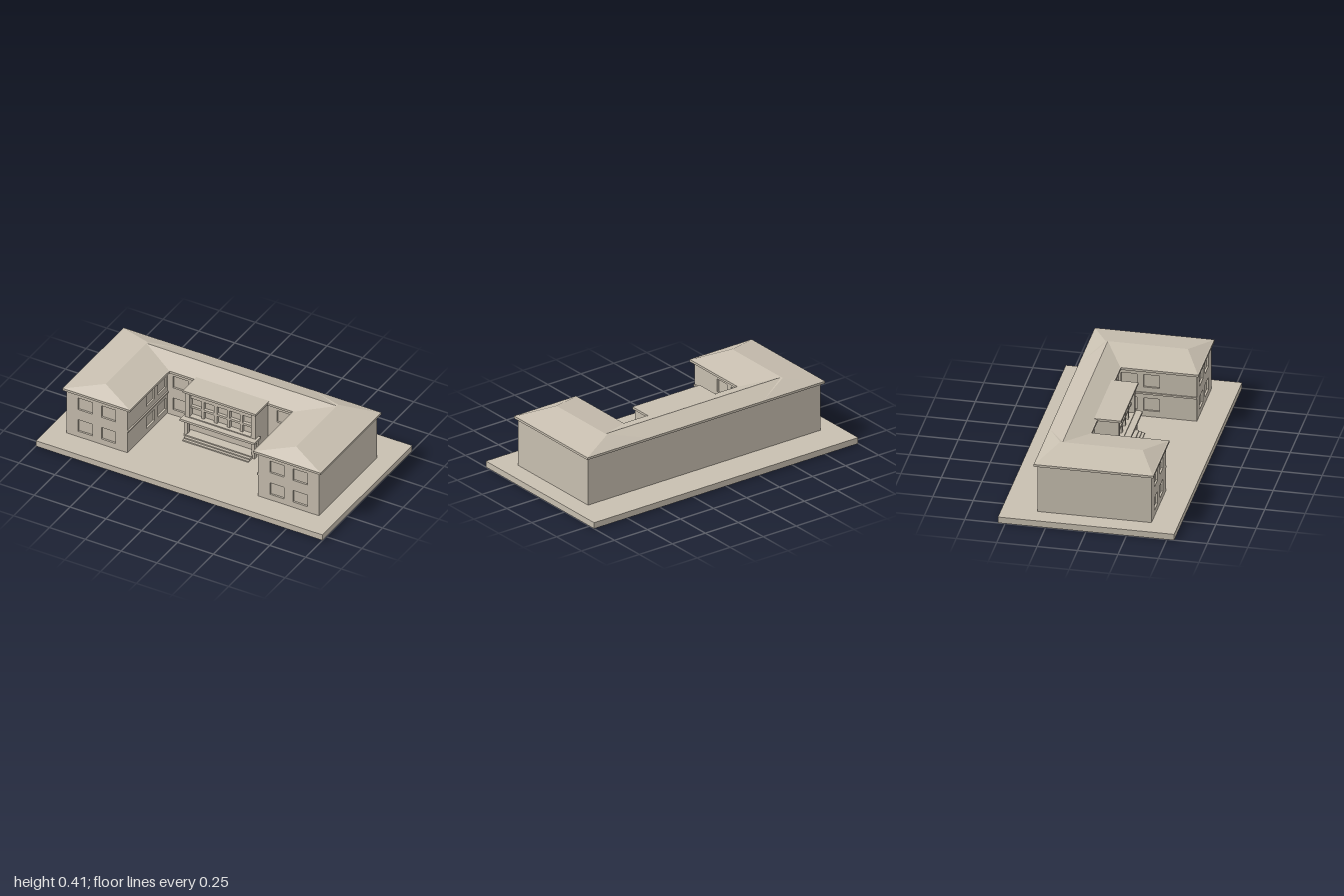
import * as THREE from 'three';

const stone = new THREE.MeshStandardMaterial({ color: 0xc8bfb0 });
stone.name = 'stone';

export function createModel() {
  const model = new THREE.Group();
  model.name = 'courtyardBuilding';

  const add = (name, geometry) => {
    const mesh = new THREE.Mesh(geometry, stone);
    mesh.name = name;
    model.add(mesh);
    return mesh;
  };

  // Box given by its limits on each axis
  const box = (name, x0, x1, y0, y1, z0, z1) =>
    add(name, new THREE.BoxGeometry(x1 - x0, y1 - y0, z1 - z0))
      .position.set((x0 + x1) / 2, (y0 + y1) / 2, (z0 + z1) / 2);

  // Wall panel with rectangular openings [centre u, centre y, width, height]
  const panel = (name, u0, u1, y0, y1, depth, openings) => {
    const rect = (path, a, b, c, d) =>
      path.moveTo(a, c).lineTo(b, c).lineTo(b, d).lineTo(a, d).closePath();
    const shape = new THREE.Shape();
    rect(shape, u0, u1, y0, y1);
    for (const [u, y, w, h] of openings) {
      const hole = new THREE.Path();
      rect(hole, u - w / 2, u + w / 2, y - h / 2, y + h / 2);
      shape.holes.push(hole);
    }
    return add(name, new THREE.ExtrudeGeometry(shape, { depth, bevelEnabled: false }));
  };

  // Hipped roof: base rectangle and a ridge between two points
  const hipRoof = (name, x0, x1, z0, z1, y, top, r0, r1) => {
    const a = [x0, y, z1], b = [x1, y, z1], c = [x1, y, z0], d = [x0, y, z0];
    const p = [r0[0], top, r0[1]], q = [r1[0], top, r1[1]];
    const alongX = r0[1] === r1[1];
    const faces = alongX
      ? [a, b, q, a, q, p, c, d, p, c, p, q, b, c, q, d, a, p]
      : [b, c, p, b, p, q, d, a, q, d, q, p, a, b, q, c, d, p];
    const geometry = new THREE.BufferGeometry();
    geometry.setAttribute('position', new THREE.Float32BufferAttribute(faces.flat(), 3));
    geometry.computeVertexNormals();
    return add(name, geometry);
  };

  const ground = 0.04, wallTop = 0.355, eaveTop = 0.37, ridge = 0.415;
  const rows = [0.122, 0.282], recess = 0.012;
  const windows = (centres, w) =>
    centres.flatMap(u => rows.map(y => [u, y, w, 0.085]));

  box('basePlate', -1, 1, 0, ground, -0.545, 0.545);

  // Central range
  box('centreCore', -0.467, 0.467, ground, wallTop, -0.325, -0.105 - recess);
  panel('centreFront', -0.455, 0.455, ground, wallTop, recess, windows([-0.362, 0.362], 0.107))
    .position.z = -0.105 - recess;
  box('centreEave', -0.43, 0.43, wallTop, eaveTop, -0.345, -0.085);
  hipRoof('centreRoof', -0.89, 0.89, -0.338, -0.092, eaveTop, ridge, [-0.66, -0.215], [0.66, -0.215]);

  // Side wings
  for (const s of [-1, 1]) {
    const side = s > 0 ? 'left' : 'right';
    const span = (a, b) => (s > 0 ? [a, b] : [-b, -a]);
    box(side + 'WingCore', ...span(0.455 + recess, 0.88), ground, wallTop, -0.325, 0.38 - recess);
    panel(side + 'WingFront', ...span(0.455, 0.88), ground, wallTop, recess,
      windows([0.588 * s, 0.75 * s], 0.1)).position.z = 0.38 - recess;
    const inner = panel(side + 'WingInner', ...span(-0.105, 0.38 - recess), ground, wallTop, recess,
      windows([-0.04 * s, 0.1 * s], 0.1));
    inner.rotation.y = -s * Math.PI / 2;
    inner.position.x = s * (0.455 + recess);
    box(side + 'WingBand', ...span(0.447, 0.456), 0.193, 0.205, -0.105, 0.38);
    box(side + 'WingEave', ...span(0.43, 0.9), wallTop, eaveTop, -0.345, 0.395);
    hipRoof(side + 'WingRoof', ...span(0.44, 0.89), -0.338, 0.388, eaveTop, ridge,
      [0.665 * s, -0.23], [0.665 * s, 0.28]);
  }

  // Entrance block: glazed upper storey over a recessed porch
  box('entranceCore', -0.245, 0.245, ground, 0.36, -0.12, 0.005);
  const lights = [];
  for (let i = -2; i <= 2; i++) {
    for (const y of [0.213, 0.283]) lights.push([i * 0.09, y, 0.072, 0.055]);
  }
  panel('entranceWindowGrid', -0.245, 0.245, 0.18, 0.36, 0.02, lights).position.z = 0.005;
  panel('entranceFrame', -0.245, 0.245, 0.18, 0.362, 0.02, [[0, 0.272, 0.43, 0.17]])
    .position.z = 0.025;
  box('entranceRoof', -0.255, 0.255, 0.36, 0.375, -0.13, 0.06);
  box('balconyLedge', -0.26, 0.26, 0.165, 0.18, 0.005, 0.085);
  for (const s of [-1, 1]) {
    box('porchPost', s * 0.235 - 0.011, s * 0.235 + 0.011, ground, 0.165, 0.03, 0.055);
  }

  // Porch floor and steps
  box('porchFloor', -0.23, 0.23, ground, 0.064, 0, 0.07);
  box('upperStep', -0.23, 0.23, ground, 0.056, 0.07, 0.088);
  box('lowerStep', -0.23, 0.23, ground, 0.048, 0.088, 0.105);

  return model;
}
